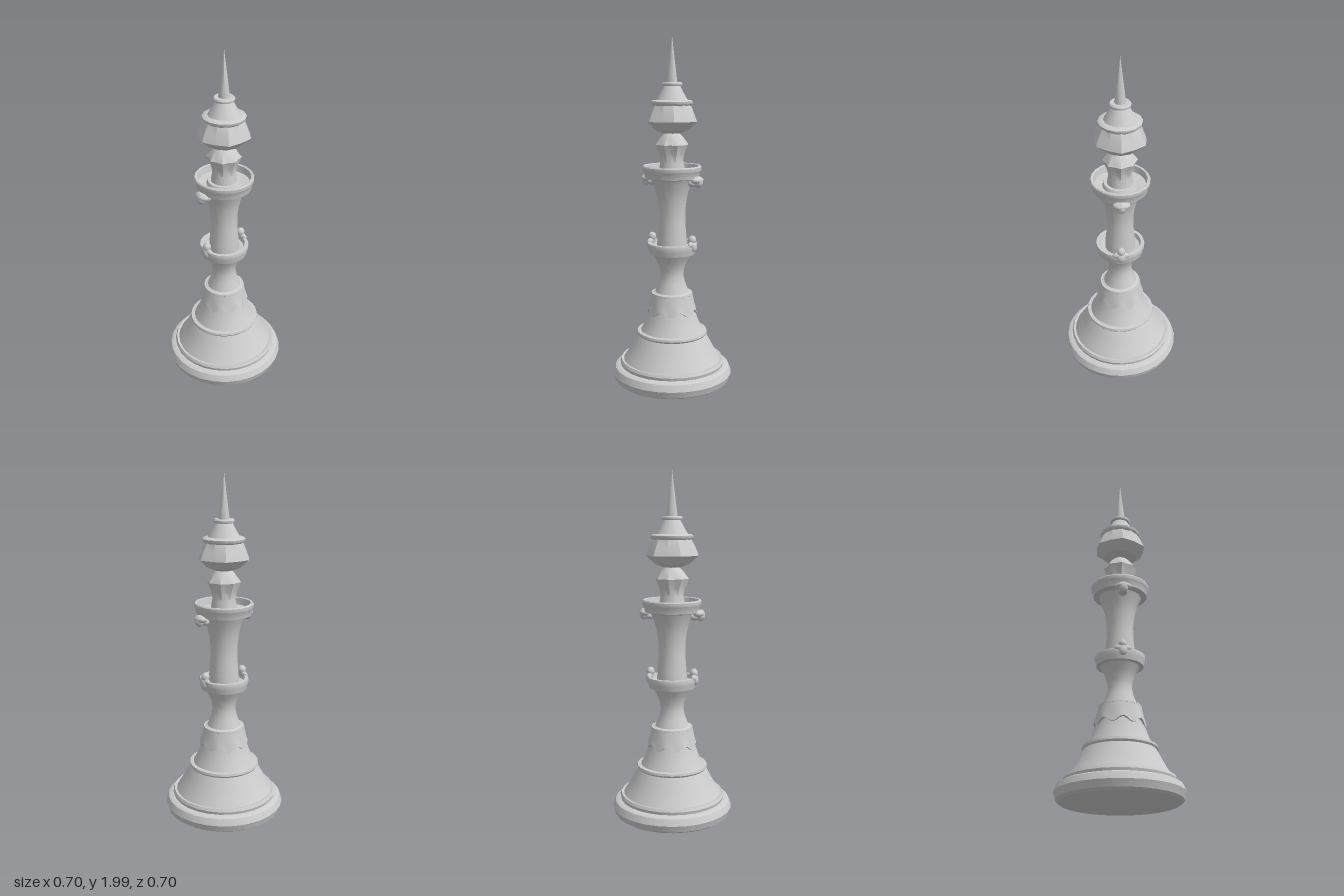
import * as THREE from 'three';
import { toCreasedNormals } from 'three/addons/utils/BufferGeometryUtils.js';

const stone = new THREE.MeshStandardMaterial({ color: 0xcccccc });
stone.name = 'pale stone';

// Turned part from [radius, height] pairs, with an optional rule that shifts radius and height by angle
function turned(name, profile, sides, crease = 0.6, rule = null) {
  const geo = new THREE.LatheGeometry(profile.map(([r, y]) => new THREE.Vector2(r, y)), sides);
  if (rule) {
    const p = geo.attributes.position;
    for (let i = 0; i < p.count; i++) {
      const a = Math.atan2(p.getZ(i), p.getX(i));
      const [scale, dy] = rule(a, p.getY(i));
      p.setXYZ(i, p.getX(i) * scale, p.getY(i) + dy, p.getZ(i) * scale);
    }
  }
  geo.deleteAttribute('uv');
  geo.deleteAttribute('normal');
  const mesh = new THREE.Mesh(toCreasedNormals(geo, crease), stone);
  mesh.name = name;
  return mesh;
}

// Rounded lump used to build the side ornaments
function lump(parent, x, y, z, sx, sy, sz) {
  const mesh = new THREE.Mesh(new THREE.SphereGeometry(1, 10, 8), stone);
  mesh.name = 'lump';
  mesh.position.set(x, y, z);
  mesh.scale.set(sx, sy, sz);
  parent.add(mesh);
}

export function createModel() {
  const model = new THREE.Group();

  // Plinth with a rounded edge and a ridge on top
  model.add(turned('plinth', [
    [0, 0.008], [0.32, 0.008], [0.337, 0.02], [0.345, 0.045], [0.35, 0.058], [0.335, 0.095],
    [0.32, 0.103], [0.302, 0.105], [0.306, 0.122], [0.298, 0.138], [0.28, 0.135],
  ], 28));

  // Sloping bell with a stepped band
  model.add(turned('bell', [
    [0.285, 0.135], [0.255, 0.18], [0.225, 0.235], [0.199, 0.285], [0.206, 0.295], [0.203, 0.308],
    [0.182, 0.31], [0.158, 0.355], [0.135, 0.42], [0.12, 0.47], [0.117, 0.52], [0.121, 0.525],
    [0.119, 0.535], [0.1, 0.535],
  ], 28));

  // Draped band whose lower edge falls in scallops
  model.add(turned('drapedBand', [
    [0.13, 0.425], [0.143, 0.428], [0.13, 0.475], [0.119, 0.53],
  ], 48, 0.8, (a, y) => [1, y < 0.45 ? 0.016 * Math.cos(8 * a) : 0]));

  // Waist flaring into the lower collar
  model.add(turned('waistAndLowerCollar', [
    [0.11, 0.535], [0.098, 0.54], [0.078, 0.59], [0.068, 0.635], [0.07, 0.675], [0.088, 0.725],
    [0.112, 0.765], [0.133, 0.768], [0.139, 0.795], [0.144, 0.815], [0.141, 0.83], [0.122, 0.83],
    [0.115, 0.805], [0.08, 0.8],
  ], 20));

  // Shaft flaring into the hollow upper collar
  model.add(turned('shaftAndUpperCollar', [
    [0.088, 0.8], [0.085, 0.86], [0.077, 0.95], [0.077, 1.02], [0.086, 1.09], [0.101, 1.15],
    [0.124, 1.2], [0.156, 1.208], [0.161, 1.24], [0.168, 1.25], [0.169, 1.27], [0.164, 1.277],
    [0.152, 1.275], [0.146, 1.235], [0.1, 1.23], [0.092, 1.25], [0.06, 1.25],
  ], 20));

  // Fluted neck
  model.add(turned('neck', [
    [0.076, 1.24], [0.066, 1.3], [0.07, 1.34], [0.092, 1.395], [0.066, 1.435], [0.042, 1.46], [0.04, 1.49],
  ], 16, 0.4, (a, y) => [y > 1.3 && y < 1.42 ? 1 + 0.06 * Math.cos(8 * a) : 1, 0]));

  // Fluted cap
  model.add(turned('cap', [
    [0.03, 1.455], [0.05, 1.46], [0.098, 1.478], [0.147, 1.525], [0.128, 1.575], [0.107, 1.62],
  ], 12, 0.3, (a, y) => [y > 1.5 && y < 1.6 ? 1 + 0.04 * Math.cos(6 * a) : 1, 0]));

  // Upper cone with its rings, ending in a spike
  model.add(turned('upperCone', [
    [0.105, 1.61], [0.119, 1.622], [0.121, 1.636], [0.11, 1.643], [0.09, 1.645], [0.072, 1.675],
    [0.048, 1.72], [0.058, 1.724], [0.06, 1.735], [0.054, 1.743], [0.03, 1.742],
  ], 14, 0.8));
  model.add(turned('spike', [[0.033, 1.735], [0.027, 1.78], [0.012, 1.9], [0.0001, 2]], 8, 0.9));

  // Mirrored ornaments: a hanging bracket on the upper collar, a curl on the lower one
  for (const side of [1, -1]) {
    const bracket = new THREE.Group();
    bracket.name = side > 0 ? 'leftBracket' : 'rightBracket';
    lump(bracket, side * 0.155, 1.2, 0, 0.035, 0.022, 0.05);
    lump(bracket, side * 0.165, 1.19, 0, 0.026, 0.034, 0.028);
    lump(bracket, side * 0.13, 1.18, 0, 0.03, 0.02, 0.03);
    model.add(bracket);

    const curl = new THREE.Group();
    curl.name = side > 0 ? 'leftCurl' : 'rightCurl';
    lump(curl, side * 0.128, 0.855, 0, 0.024, 0.026, 0.024);
    lump(curl, side * 0.13, 0.83, 0, 0.018, 0.02, 0.052);
    lump(curl, side * 0.14, 0.815, 0, 0.015, 0.03, 0.025);
    model.add(curl);
  }

  return model;
}
